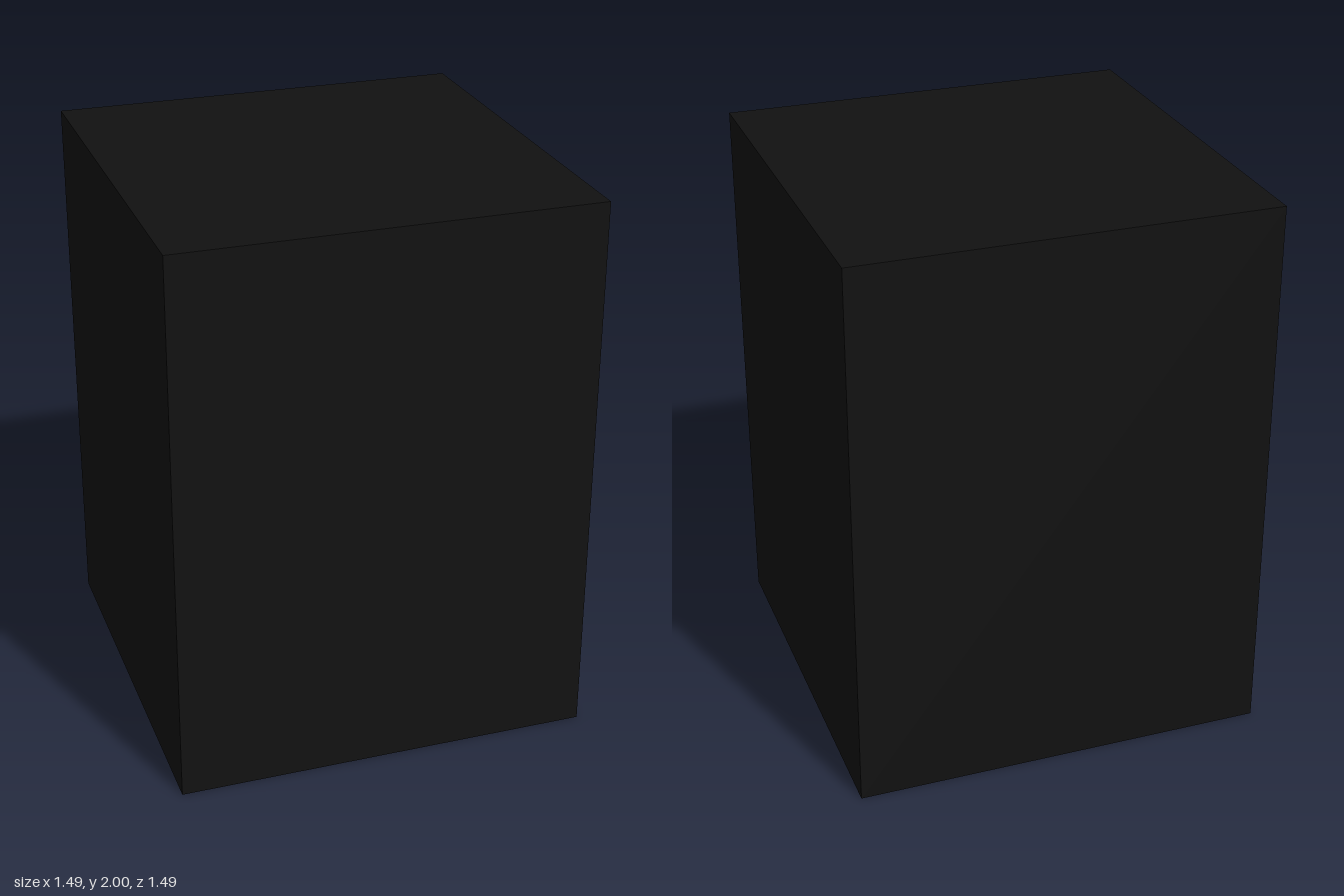
import * as THREE from 'three';
import { mergeGeometries } from 'three/addons/utils/BufferGeometryUtils.js';

const W = 1.49, H = 2;            // cabinet width/depth and height
const R_HOLE = 0.695;             // opening in the underside
const R_OUT = 0.413, R_IN = 0.339; // circular groove
const FLOOR = 0.093, GROOVE_TOP = 0.9;
const SEG = 96;

export function createModel() {
  const group = new THREE.Group();
  const black = new THREE.MeshStandardMaterial({ color: 0x111111 });
  const blue = new THREE.MeshStandardMaterial({ color: 0x1e88e5, side: THREE.DoubleSide });
  const grey = new THREE.MeshStandardMaterial({ color: 0xcccccc });

  const add = (name, geometry, material, y = 0) => {
    const mesh = new THREE.Mesh(geometry, material);
    mesh.name = name;
    mesh.position.y = y;
    group.add(mesh);
  };

  // Cabinet: a box whose bottom face is replaced by a square with a round opening
  const box = new THREE.BoxGeometry(W, H, W).translate(0, H / 2, 0);
  const index = Array.from(box.index.array);
  index.splice(18, 6);
  box.setIndex(index);
  box.clearGroups();
  const h = W / 2;
  const square = new THREE.Shape([[-h, -h], [h, -h], [h, h], [-h, h]].map(p => new THREE.Vector2(...p)));
  square.holes.push(new THREE.Path().absarc(0, 0, R_HOLE, 0, Math.PI * 2, true));
  const bottom = new THREE.ShapeGeometry(square, SEG / 2).rotateX(Math.PI / 2);
  add('cabinet', mergeGeometries([box, bottom]), black);

  // Cylindrical walls inside the opening
  const wall = (name, radius, y0, y1) => add(name,
    new THREE.CylinderGeometry(radius, radius, y1 - y0, SEG, 1, true), blue, (y0 + y1) / 2);
  wall('openingWall', R_HOLE, 0, FLOOR);
  wall('grooveOuterWall', R_OUT, FLOOR, GROOVE_TOP);
  wall('grooveInnerWall', R_IN, FLOOR, GROOVE_TOP);

  // Flat faces looking down
  const ring = (r0, r1) => new THREE.RingGeometry(r0, r1, SEG).rotateX(Math.PI / 2);
  add('grooveEnd', ring(R_IN, R_OUT), blue, GROOVE_TOP);
  add('recessRing', ring(R_OUT, R_HOLE), grey, FLOOR);
  add('centreDisc', new THREE.CircleGeometry(R_IN, SEG).rotateX(Math.PI / 2), grey, FLOOR);

  return group;
}
